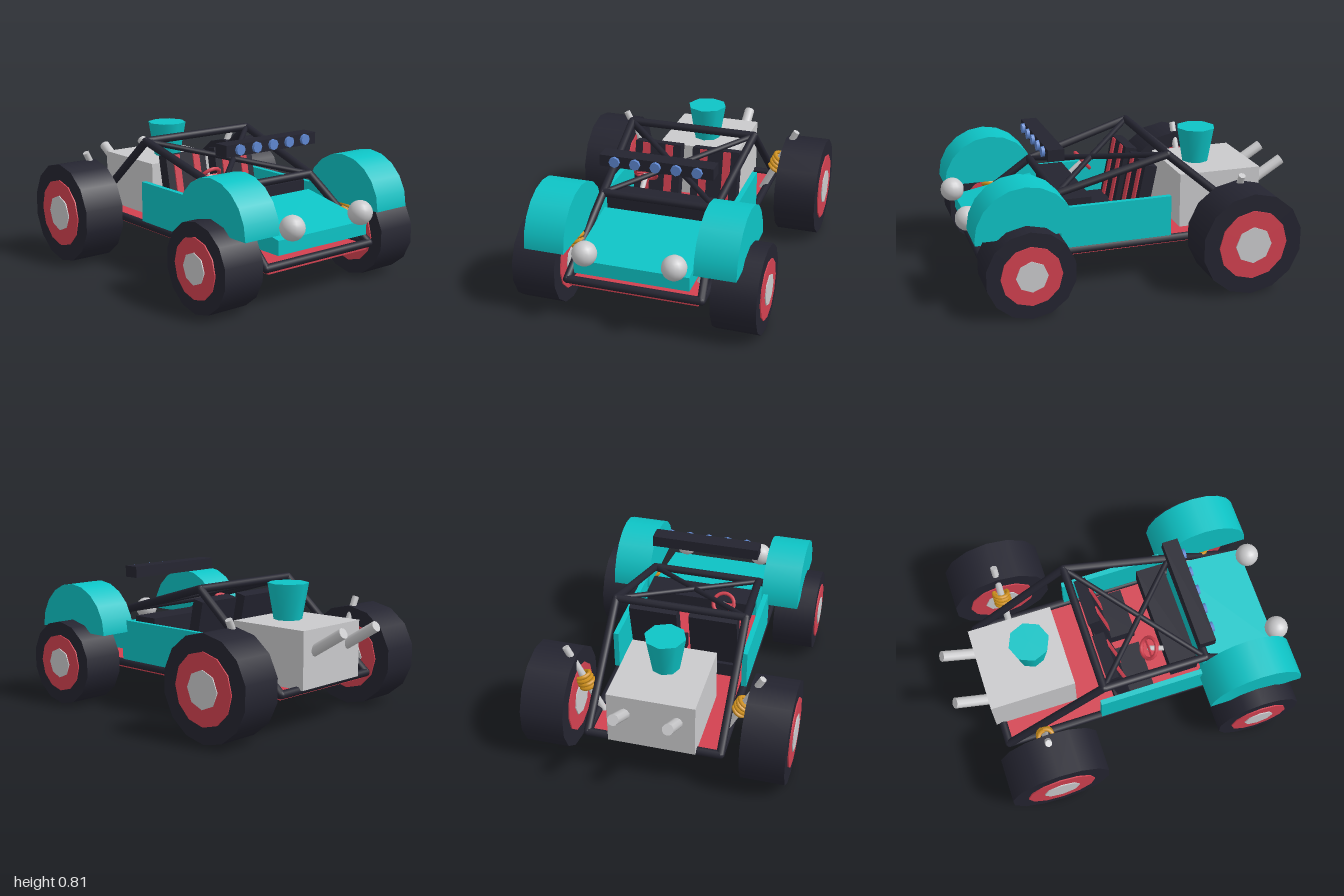
import * as THREE from 'three';

const mat = (name, color, side = THREE.FrontSide) => {
  const m = new THREE.MeshStandardMaterial({ color, side });
  m.name = name;
  return m;
};

export function createModel() {
  const black = mat('black', 0x242430);
  const red = mat('red', 0xd24150);
  const teal = mat('teal', 0x0dc4c6, THREE.DoubleSide);
  const grey = mat('light grey', 0xcacacc);
  const gold = mat('gold', 0xd2921c);
  const blue = mat('lamp blue', 0x5f88d2);

  const model = new THREE.Group();
  model.name = 'buggy';
  const V = (x, y, z) => new THREE.Vector3(x, y, z);
  const add = (name, geo, material, x = 0, y = 0, z = 0, parent = model) => {
    const m = new THREE.Mesh(geo, material);
    m.name = name;
    m.position.set(x, y, z);
    parent.add(m);
    return m;
  };
  const box = (name, material, w, h, d, x, y, z, parent) =>
    add(name, new THREE.BoxGeometry(w, h, d), material, x, y, z, parent);
  const UP = V(0, 1, 0);
  // Straight rod between two points
  const rod = (name, material, a, b, r, sides = 10) => {
    const dir = b.clone().sub(a);
    const m = add(name, new THREE.CylinderGeometry(r, r, dir.length(), sides), material);
    m.position.copy(a).add(b).multiplyScalar(0.5);
    m.quaternion.setFromUnitVectors(UP, dir.normalize());
    return m;
  };

  // Floor pan
  box('floorPan', red, 0.72, 0.03, 1.62, 0, 0.215, 0.07);

  // Tube frame and roll cage
  const R = 0.023;
  const node = (s) => ({
    rear: V(0.375 * s, 0.235, -0.76),
    nose: V(0.375 * s, 0.235, 0.88),
    roof: V(0.375 * s, 0.735, -0.175),
    cowl: V(0.325 * s, 0.557, 0.45),
  });
  const right = node(-1), left = node(1);
  for (const n of [right, left]) {
    rod('lowerRail', black, n.rear, n.nose, R);
    rod('rearStay', black, n.rear, n.roof, R);
    rod('roofRail', black, n.roof, n.cowl, R);
    rod('frontPillar', black, n.cowl, n.nose, R);
    for (const p of Object.values(n))
      add('tubeJoint', new THREE.SphereGeometry(R, 10, 8), black, p.x, p.y, p.z);
  }
  for (const key of Object.keys(right)) rod(key + 'CrossTube', black, right[key], left[key], R);
  rod('roofBrace', black, right.roof, left.cowl, 0.016);
  rod('roofBrace', black, left.roof, right.cowl, 0.016);

  // Sloping hood: side profile extruded across the car
  const profile = new THREE.Shape();
  profile.moveTo(-0.91, 0.3);
  profile.lineTo(-0.45, 0.3);
  profile.lineTo(-0.45, 0.467);
  profile.lineTo(-0.91, 0.38);
  profile.closePath();
  const hoodGeo = new THREE.ExtrudeGeometry(profile, { depth: 0.64, bevelEnabled: false });
  hoodGeo.translate(0, 0, -0.32).rotateY(Math.PI / 2);
  add('hood', hoodGeo, teal);

  // Headlights
  for (const s of [-1, 1])
    add('headlight', new THREE.SphereGeometry(0.068, 16, 12), grey, 0.246 * s, 0.44, 0.932);

  // Light bar with five lamps
  box('lightBar', black, 0.645, 0.066, 0.092, 0, 0.773, 0.446);
  for (let i = -2; i <= 2; i++) {
    const lamp = new THREE.CylinderGeometry(0.03, 0.03, 0.025, 8).rotateX(Math.PI / 2);
    add('lamp', lamp, blue, i * 0.117, 0.775, 0.497);
  }

  // Side panels and front fenders
  for (const s of [-1, 1]) {
    box('sidePanel', teal, 0.03, 0.235, 0.64, 0.381 * s, 0.377, 0.125);
    const arch = new THREE.Group();
    arch.name = 'frontFender';
    arch.position.set(0.467 * s, 0.427, 0.68);
    model.add(arch);
    const shell = new THREE.CylinderGeometry(0.277, 0.277, 0.225, 10, 1, true, 0, Math.PI);
    add('fenderArch', shell.rotateZ(Math.PI / 2), teal, 0, 0, 0, arch);
    for (const e of [-1, 1]) {
      const cap = new THREE.CircleGeometry(0.277, 10, 0, Math.PI).rotateY(e * Math.PI / 2);
      add('fenderSide', cap, teal, e * 0.1125, 0, 0, arch);
    }
  }

  // Wheels: tyre, rim and hub each stand a little prouder than the last
  const wheel = (name, s, xIn, xOut, r, z, rimR, hubR) => {
    const g = new THREE.Group();
    g.name = name;
    g.position.set(s * (xIn + xOut) / 2, r, z);
    model.add(g);
    const w = xOut - xIn;
    const disc = (part, m, rad, width, sides) =>
      add(part, new THREE.CylinderGeometry(rad, rad, width, sides)
        .rotateY(Math.PI / 2).rotateZ(Math.PI / 2), m, 0, 0, 0, g);
    const turn = (d) => { d.rotation.x = Math.PI / 2; return d; };
    turn(disc('tyre', black, r, w, 14)).rotation.x = 0;
    turn(disc('rim', red, rimR, w + 0.014, 12));
    turn(disc('hub', grey, hubR, w + 0.026, 8));
  };
  // Shock absorber with a coil spring around its middle
  const shock = (s, x, y, z) => {
    const a = V(s * (x - 0.112), y - 0.22, z), b = V(s * (x + 0.105), y + 0.212, z);
    const strut = rod('shockStrut', grey, a, b, 0.02, 8);
    const pts = [];
    const turns = 4;
    for (let i = 0; i <= turns * 12; i++) {
      const t = i / 12 * Math.PI * 2;
      pts.push(V(0.042 * Math.cos(t), (i / (turns * 12) - 0.5) * 0.1, 0.042 * Math.sin(t)));
    }
    const coil = new THREE.TubeGeometry(new THREE.CatmullRomCurve3(pts), 64, 0.012, 6);
    const m = add('coilSpring', coil, gold, s * x, y, z);
    m.quaternion.copy(strut.quaternion);
  };
  for (const s of [-1, 1]) {
    wheel('frontWheel', s, 0.432, 0.677, 0.246, 0.68, 0.167, 0.087);
    wheel('rearWheel', s, 0.49, 0.736, 0.292, -0.547, 0.198, 0.105);
    shock(s, 0.397, 0.392, 0.68);
    shock(s, 0.447, 0.418, -0.55);
  }

  // Seats with striped backrests
  for (const s of [-1, 1]) {
    const x = 0.176 * s;
    box('seatBase', black, 0.28, 0.09, 0.24, x, 0.27, 0.03);
    const back = new THREE.Group();
    back.name = 'seatBack';
    back.position.set(x, 0.44, -0.058);
    back.rotation.x = -0.2;
    model.add(back);
    box('backrest', black, 0.28, 0.44, 0.07, 0, 0, 0, back);
    for (const e of [-1, 1])
      box('seatStripe', red, 0.045, 0.43, 0.009, 0.07 * e, 0, 0.0385, back);
  }

  // Dashboard and steering
  box('dashboard', black, 0.64, 0.11, 0.16, 0, 0.46, 0.33);
  rod('steeringColumn', grey, V(-0.175, 0.56, 0.16), V(-0.175, 0.43, 0.315), 0.016, 8);
  const steering = new THREE.Group();
  steering.name = 'steeringWheel';
  steering.position.set(-0.175, 0.563, 0.16);
  steering.rotation.x = 0.7;
  model.add(steering);
  add('wheelRing', new THREE.TorusGeometry(0.062, 0.011, 8, 18), red, 0, 0, 0, steering);
  box('wheelSpoke', red, 0.12, 0.014, 0.01, 0, 0, 0, steering);

  // Engine, intake funnel and exhausts
  box('engineBlock', grey, 0.49, 0.32, 0.495, 0, 0.4, -0.552);
  add('intakeFunnel', new THREE.CylinderGeometry(0.116, 0.08, 0.205, 8), teal, 0, 0.662, -0.49);
  for (const s of [-1, 1])
    rod('exhaustPipe', grey, V(0.146 * s, 0.385, -0.7), V(0.146 * s, 0.558, -0.982), 0.031, 10);

  return model;
}
